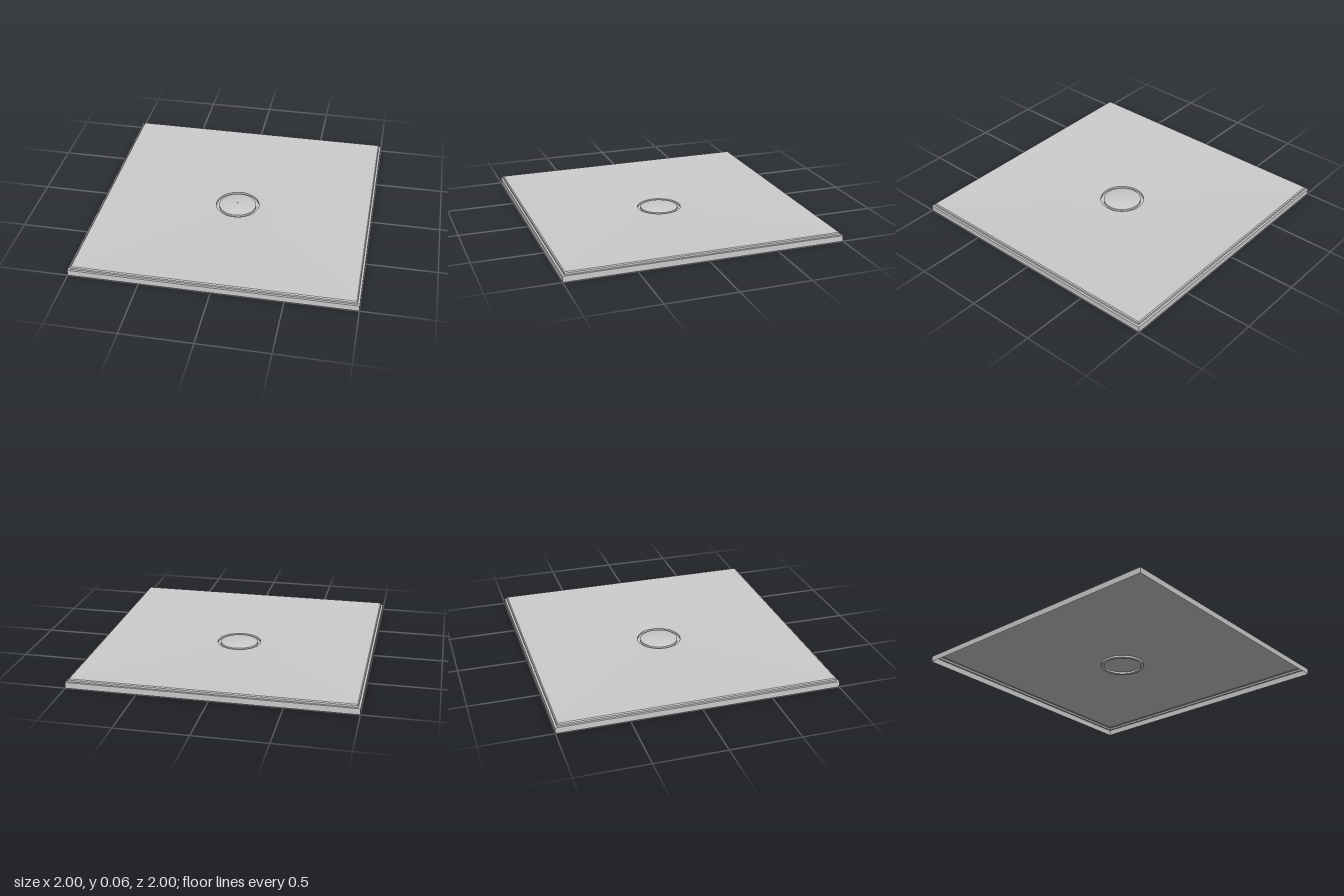
import * as THREE from 'three';
import { toCreasedNormals } from 'three/addons/utils/BufferGeometryUtils.js';

const SEGMENTS = 64;
const material = new THREE.MeshStandardMaterial({ color: 0xcccccc, side: THREE.DoubleSide });

// Cross-sections: a square of half-width s, or a circle of radius r, at height y
const square = (s, y) => (a) => {
  const k = s / Math.max(Math.abs(Math.cos(a)), Math.abs(Math.sin(a)));
  return [k * Math.cos(a), y, k * Math.sin(a)];
};
const circle = (r, y) => (a) => [r * Math.cos(a), y, r * Math.sin(a)];
const blend = (f, g, t) => (a) => {
  const p = f(a), q = g(a);
  return p.map((v, i) => v + (q[i] - v) * t);
};

// Skin a list of rings running from the outside inwards
function loft(name, rings) {
  const positions = [], index = [];
  rings.forEach((ring) => {
    for (let j = 0; j < SEGMENTS; j++) positions.push(...ring((j / SEGMENTS) * Math.PI * 2));
  });
  for (let i = 0; i < rings.length - 1; i++) {
    for (let j = 0; j < SEGMENTS; j++) {
      const k = (j + 1) % SEGMENTS;
      const a = i * SEGMENTS + j, b = i * SEGMENTS + k;
      const c = a + SEGMENTS, d = b + SEGMENTS;
      index.push(a, c, b, b, c, d);
    }
  }
  const geometry = new THREE.BufferGeometry();
  geometry.setAttribute('position', new THREE.Float32BufferAttribute(positions, 3));
  geometry.setIndex(index);
  const mesh = new THREE.Mesh(toCreasedNormals(geometry, 0.5), material);
  mesh.name = name;
  return mesh;
}

export function createModel() {
  const group = new THREE.Group();
  group.name = 'showerTray';

  // Outer wall, narrow ledge and raised, chamfered lip; open underneath
  group.add(loft('rim', [
    square(1, 0), square(1, 0.043), square(0.985, 0.043),
    square(0.985, 0.056), square(0.978, 0.062),
  ]));

  // Floor falling from the square lip to the round drain
  const outer = square(0.978, 0.062), inner = circle(0.16, 0.03);
  const steps = 8;
  group.add(loft('floor', Array.from({ length: steps + 1 }, (_, i) => blend(outer, inner, i / steps))));

  // Recessed drain seat
  group.add(loft('drainSeat', [circle(0.16, 0.03), circle(0.16, 0.015), circle(0.138, 0.015)]));

  // Domed drain cover
  const dome = [circle(0.138, 0.015), circle(0.138, 0.03)];
  for (let i = 1; i <= 8; i++) {
    const t = 1 - i / 8;
    dome.push(circle(Math.max(0.138 * t, 0.0005), 0.03 + 0.015 * (1 - t * t)));
  }
  group.add(loft('drainCover', dome));

  return group;
}
